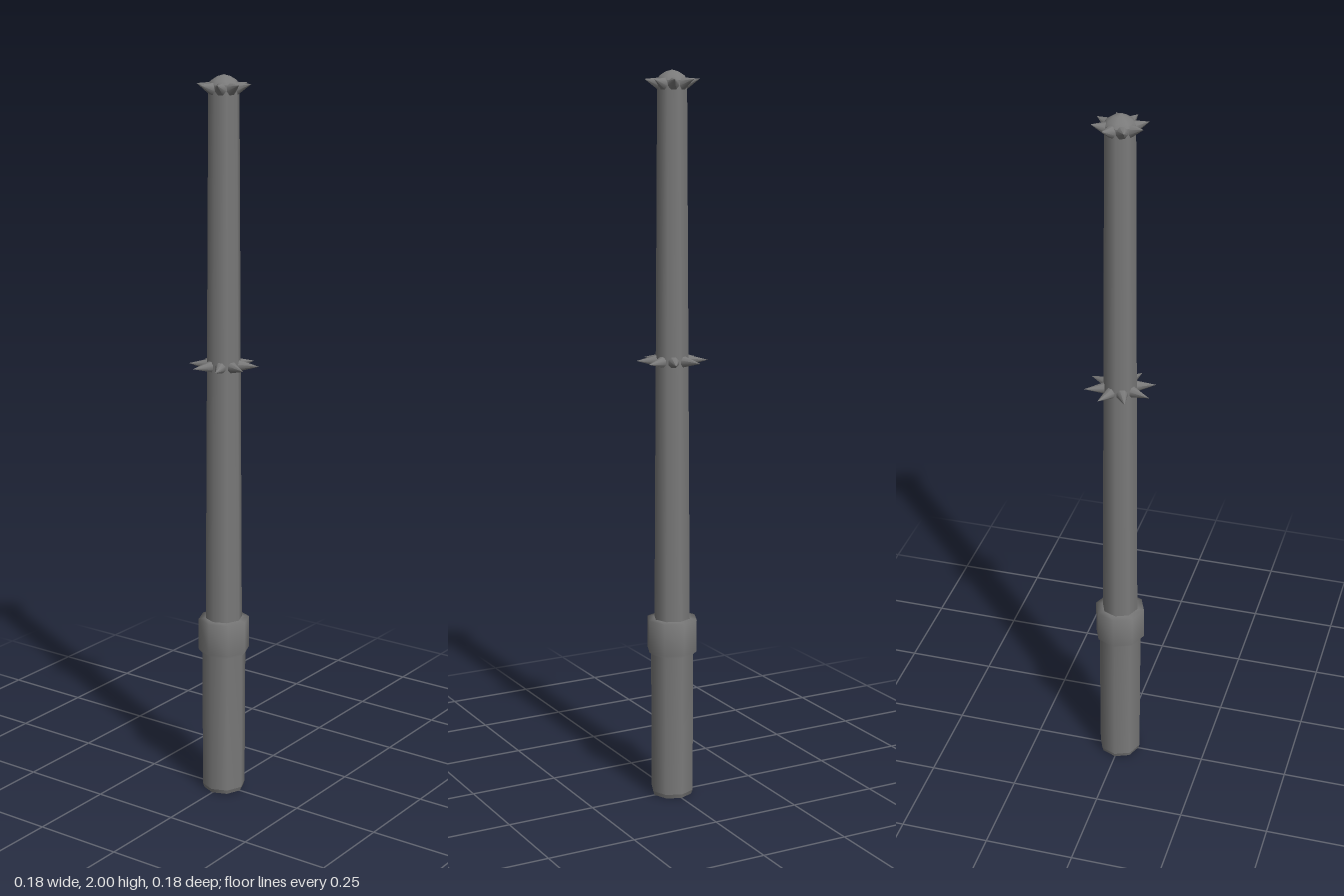
import * as THREE from 'three';

const SIDES = 8;
const material = new THREE.MeshStandardMaterial({ color: 0x7a7a7a });

function add(parent, name, geometry) {
  const mesh = new THREE.Mesh(geometry, material);
  mesh.name = name;
  parent.add(mesh);
  return mesh;
}

// Tapered eight-sided post standing between two heights
function post(parent, name, rBottom, rTop, y0, y1) {
  const mesh = add(parent, name, new THREE.CylinderGeometry(rTop, rBottom, y1 - y0, SIDES));
  mesh.position.y = (y0 + y1) / 2;
}

// Turned part from [radius, height] pairs, listed bottom to top
function turned(parent, name, profile) {
  add(parent, name, new THREE.LatheGeometry(profile.map(([r, y]) => new THREE.Vector2(r, y)), SIDES));
}

// Ring of eight spikes, one on each flat of the shaft
function spikeRing(parent, name, y, rBase, rTip, rise, thickness) {
  const ring = new THREE.Group();
  ring.name = name;
  ring.position.y = y;
  const up = new THREE.Vector3(0, 1, 0);
  for (let i = 0; i < SIDES; i++) {
    const a = ((i + 0.5) / SIDES) * Math.PI * 2;
    const base = new THREE.Vector3(Math.cos(a) * rBase, 0, Math.sin(a) * rBase);
    const tip = new THREE.Vector3(Math.cos(a) * rTip, rise, Math.sin(a) * rTip);
    const spike = add(ring, 'spike', new THREE.ConeGeometry(thickness, base.distanceTo(tip), 8));
    spike.position.copy(base).lerp(tip, 0.5);
    spike.quaternion.setFromUnitVectors(up, tip.sub(base).normalize());
  }
  parent.add(ring);
}

export function createModel() {
  const model = new THREE.Group();
  model.name = 'spikedBaton';

  // Slightly narrowed foot closing the grip
  post(model, 'gripFoot', 0.056, 0.06, 0, 0.012);

  // Grip flowing smoothly into the collar
  turned(model, 'gripAndCollar', [[0.06, 0.012], [0.061, 0.41], [0.071, 0.42], [0.071, 0.51], [0.045, 0.512]]);

  // Long tapering shaft and its domed end
  post(model, 'shaft', 0.051, 0.041, 0.5, 1.974);
  turned(model, 'domedTip', [[0.041, 1.974], [0.034, 1.985], [0.018, 1.995], [0, 2]]);

  // Spikes half way up and around the tip
  spikeRing(model, 'middleSpikes', 1.231, 0.036, 0.097, 0, 0.017);
  spikeRing(model, 'tipSpikes', 1.964, 0.032, 0.073, 0.012, 0.018);

  return model;
}
